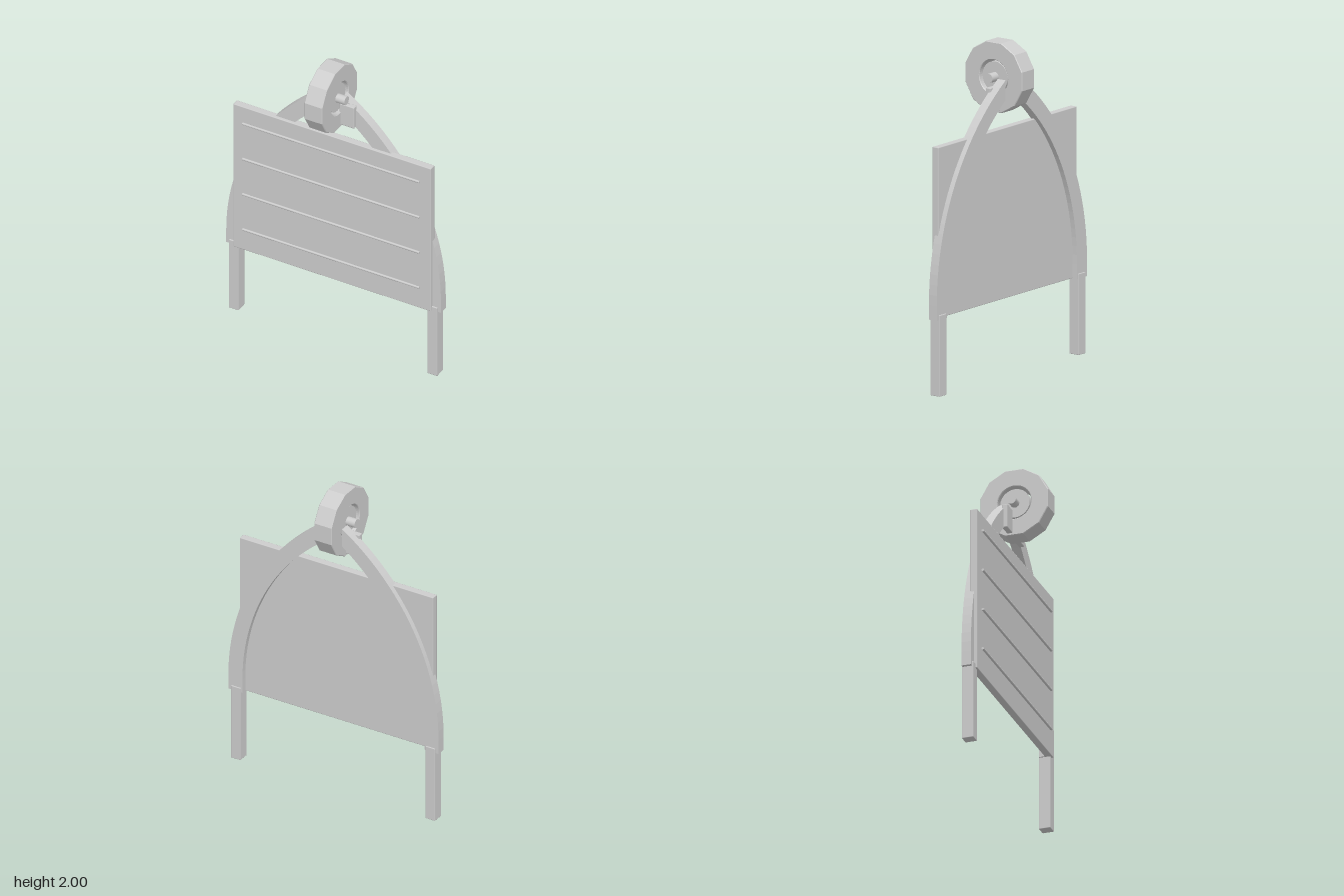
import * as THREE from 'three';
import { RoundedBoxGeometry } from 'three/addons/geometries/RoundedBoxGeometry.js';

const grey = new THREE.MeshStandardMaterial({ color: 0xcccccc });
grey.name = 'plain grey';
const greyFaceted = grey;

function add(parent, name, geometry, x = 0, y = 0, z = 0) {
  const mesh = new THREE.Mesh(geometry, greyFaceted);
  mesh.name = name;
  mesh.position.set(x, y, z);
  parent.add(mesh);
  return mesh;
}

// Slightly softened box given by its extents
function block(parent, name, [x0, x1], [y0, y1], [z0, z1], r = 0.004) {
  const g = new RoundedBoxGeometry(x1 - x0, y1 - y0, z1 - z0, 1, r);
  return add(parent, name, g, (x0 + x1) / 2, (y0 + y1) / 2, (z0 + z1) / 2);
}

// One half of the pointed arch, for side = +1 or -1
function archGeometry(side) {
  const cx = -0.758, cy = 0.55, outer = 1.48, inner = 1.383, endX = 0.06;
  const arc = (r) => {
    const end = Math.acos((endX - cx) / r);
    return Array.from({ length: 25 }, (_, i) => {
      const a = (end * i) / 24;
      return new THREE.Vector2(side * (cx + r * Math.cos(a)), cy + r * Math.sin(a));
    });
  };
  const points = [
    new THREE.Vector2(side * (cx + outer), 0.46),
    ...arc(outer),
    ...arc(inner).reverse(),
    new THREE.Vector2(side * (cx + inner), 0.46),
  ];
  return new THREE.ExtrudeGeometry(new THREE.Shape(points), { depth: 0.058, bevelEnabled: false });
}

// Twelve-sided tyre with a round opening, lying along x
function tyreGeometry(apothem, width, hole) {
  const bevel = 0.004;
  const r = (apothem - bevel) / Math.cos(Math.PI / 12);
  const corners = Array.from({ length: 12 }, (_, i) => {
    const a = ((i + 0.5) * Math.PI) / 6;
    return new THREE.Vector2(r * Math.cos(a), r * Math.sin(a));
  });
  const shape = new THREE.Shape(corners);
  shape.holes.push(new THREE.Path().absarc(0, 0, hole + bevel, 0, Math.PI * 2, true));
  const g = new THREE.ExtrudeGeometry(shape, {
    depth: width - 2 * bevel, bevelThickness: bevel, bevelSize: bevel, bevelSegments: 1, curveSegments: 24,
  });
  g.translate(0, 0, bevel - width / 2);
  return g.rotateY(Math.PI / 2);
}

export function createModel() {
  const model = new THREE.Group();
  model.name = 'wheeledBoard';

  // Board with four raised rods
  block(model, 'board', [-0.665, 0.665], [0.46, 1.487], [-0.058, -0.013], 0.005);
  for (const y of [1.375, 1.121, 0.867, 0.614]) {
    add(model, 'rod', new THREE.CylinderGeometry(0.008, 0.008, 1.19, 10).rotateZ(Math.PI / 2), 0, y, -0.003);
  }

  // Legs, arch halves and axle brackets
  for (const side of [1, -1]) {
    const span = (a, b) => (side > 0 ? [a, b] : [-b, -a]);
    block(model, 'leg', span(0.635, 0.701), [0, 0.49], [-0.096, -0.024]);
    add(model, 'archHalf', archGeometry(side), 0, 0, -0.09);
    block(model, 'bracket', span(0.05, 0.15), [1.595, 1.745], [-0.045, -0.01], 0.006);
  }

  // Wheel, hub disc and axle
  const wheel = new THREE.Group();
  wheel.name = 'wheel';
  wheel.position.y = 1.79;
  add(wheel, 'tyre', tyreGeometry(0.21, 0.12, 0.105));
  add(wheel, 'hub', new THREE.CylinderGeometry(0.092, 0.092, 0.09, 24).rotateZ(Math.PI / 2));
  add(wheel, 'axle', new THREE.CylinderGeometry(0.028, 0.028, 0.212, 16).rotateZ(Math.PI / 2));
  model.add(wheel);

  return model;
}
